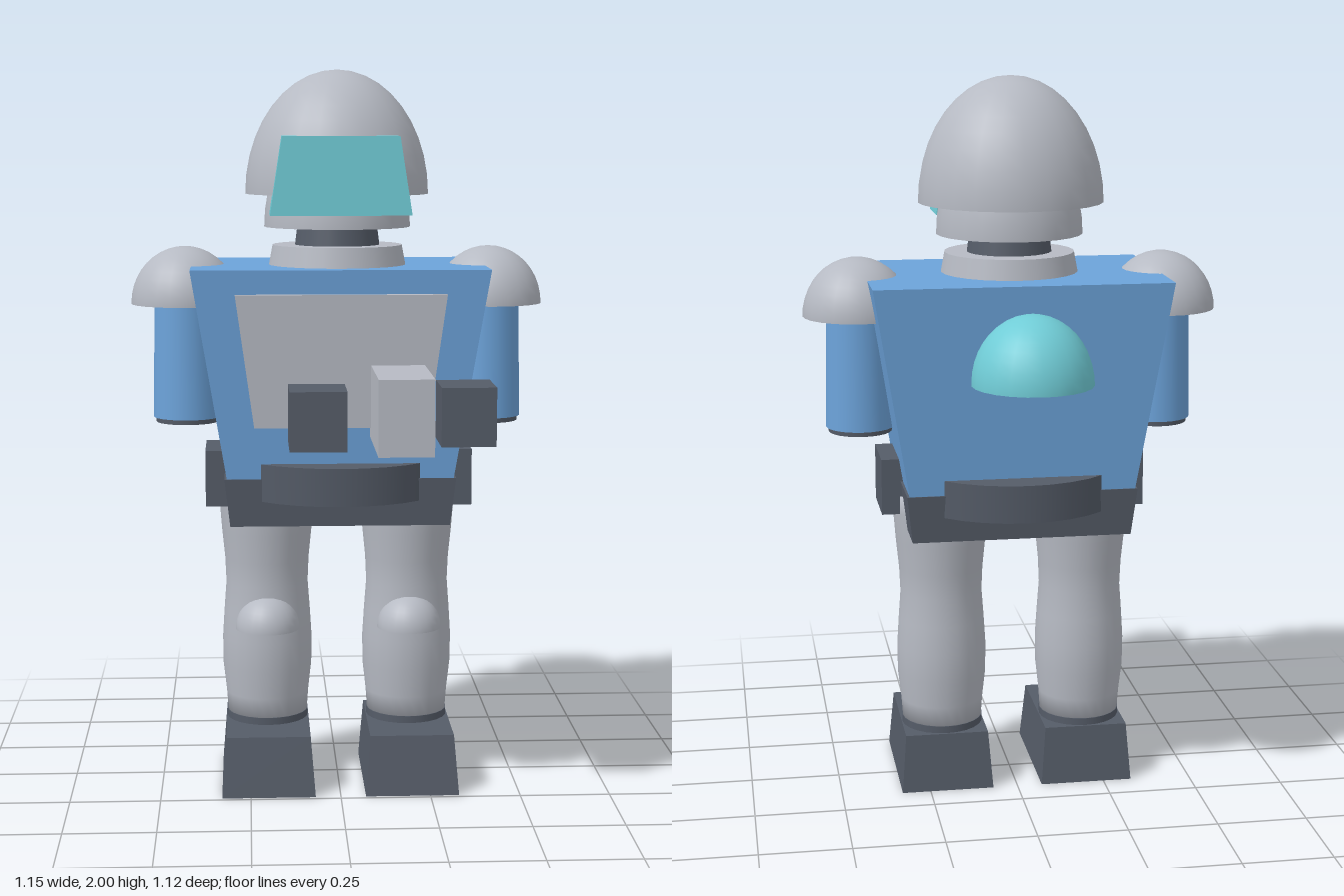
import * as THREE from 'three';

const mat = (name, color, side = THREE.FrontSide) => {
  const m = new THREE.MeshStandardMaterial({ color, side });
  m.name = name;
  return m;
};

export function createModel() {
  const group = new THREE.Group();
  const grey = mat('armour grey', 0xb6bac3, THREE.DoubleSide);
  const blue = mat('suit blue', 0x6ca3da);
  const dark = mat('dark slate', 0x555c68);
  const cyan = mat('visor cyan', 0x70ccd6, THREE.DoubleSide);

  const add = (name, geometry, material, x = 0, y = 0, z = 0) => {
    const mesh = new THREE.Mesh(geometry, material);
    mesh.name = name;
    mesh.position.set(x, y, z);
    group.add(mesh);
    return mesh;
  };

  // Box whose bottom and top rectangles [x0, x1, z0, z1] may differ
  const block = (name, material, y0, y1, bottom, top = bottom) => {
    const g = new THREE.BoxGeometry(1, 1, 1);
    const p = g.attributes.position;
    for (let i = 0; i < p.count; i++) {
      const up = p.getY(i) > 0;
      const r = up ? top : bottom;
      p.setXYZ(i, p.getX(i) > 0 ? r[1] : r[0], up ? y1 : y0, p.getZ(i) > 0 ? r[3] : r[2]);
    }
    const flat = g.toNonIndexed();
    flat.computeVertexNormals();
    return add(name, flat, material);
  };

  // Open upper half of an ellipsoid
  const dome = (name, material, r, h, x, y, z) => {
    const g = new THREE.SphereGeometry(1, 24, 10, 0, Math.PI * 2, 0, Math.PI / 2);
    g.scale(r, h, r);
    return add(name, g, material, x, y, z);
  };

  const drum = (name, material, rTop, rBottom, y0, y1, x = 0, z = 0, sides = 24) =>
    add(name, new THREE.CylinderGeometry(rTop, rBottom, y1 - y0, sides), material, x, (y0 + y1) / 2, z);

  // Head
  dome('helmet', grey, 0.255, 0.34, 0, 1.66, -0.025);
  dome('head', grey, 0.203, 0.3, 0, 1.57, 0);
  block('visor', cyan, 1.61, 1.82, [-0.19, 0.19, 0.1, 0.25], [-0.157, 0.157, 0.1, 0.245]);
  drum('neck', dark, 0.11, 0.12, 1.5, 1.58);
  drum('collar', grey, 0.18, 0.195, 1.44, 1.52);

  // Torso
  block('torso', blue, 0.89, 1.465, [-0.31, 0.31, -0.25, 0.205], [-0.405, 0.405, -0.288, 0.243]);
  block('chestPlate', grey, 1.04, 1.4, [-0.235, 0.235, 0.18, 0.25], [-0.285, 0.285, 0.18, 0.26]);
  dome('backpack', cyan, 0.162, 0.185, 0, 1.225, -0.4);

  // Belt
  block('hips', dark, 0.76, 0.893, [-0.302, 0.302, -0.238, 0.197], [-0.317, 0.317, -0.253, 0.208]);
  drum('belt', dark, 0.317, 0.312, 0.83, 0.935, 0, -0.022, 32);

  // Blaster and hands
  block('blaster', grey, 1.01, 1.21, [0.08, 0.225, 0.2, 0.563]);
  block('rightHand', dark, 1.013, 1.17, [-0.145, 0.005, 0.325, 0.49]);
  block('leftHand', dark, 1.013, 1.17, [0.255, 0.4, 0.255, 0.423]);

  // Leg profile, bottom to top
  const legProfile = [
    [0, 0.17], [0.112, 0.17], [0.117, 0.24], [0.126, 0.32], [0.127, 0.4], [0.122, 0.48],
    [0.116, 0.56], [0.119, 0.63], [0.127, 0.71], [0.134, 0.8], [0.134, 0.85], [0, 0.85],
  ].map(([r, y]) => new THREE.Vector2(r, y));

  for (const [side, s] of [['left', 1], ['right', -1]]) {
    // Arms
    dome(side + 'ShoulderPad', grey, 0.15, 0.16, s * 0.425, 1.355, -0.022);
    drum(side + 'Arm', blue, 0.088, 0.096, 1.04, 1.42, s * 0.42, 0);
    drum(side + 'Cuff', dark, 0.09, 0.088, 1.026, 1.06, s * 0.42, 0);

    // Belt pouch
    const pouch = [0.25, 0.37].map((x) => x * s).sort((a, b) => a - b);
    block(side + 'Pouch', dark, 0.8, 0.957, [...pouch, -0.08, 0.11]);

    // Legs
    add(side + 'Leg', new THREE.LatheGeometry(legProfile, 24), grey, s * 0.2, 0, -0.022);
    dome(side + 'KneePad', grey, 0.09, 0.095, s * 0.2, 0.443, 0.07);
    drum(side + 'AnkleRing', dark, 0.115, 0.115, 0.15, 0.185, s * 0.2, -0.022);
    const c = s * 0.2;
    block(side + 'Boot', dark, 0, 0.165,
      [c - 0.13, c + 0.13, -0.158, 0.238], [c - 0.117, c + 0.117, -0.142, 0.21]);
  }

  return group;
}
